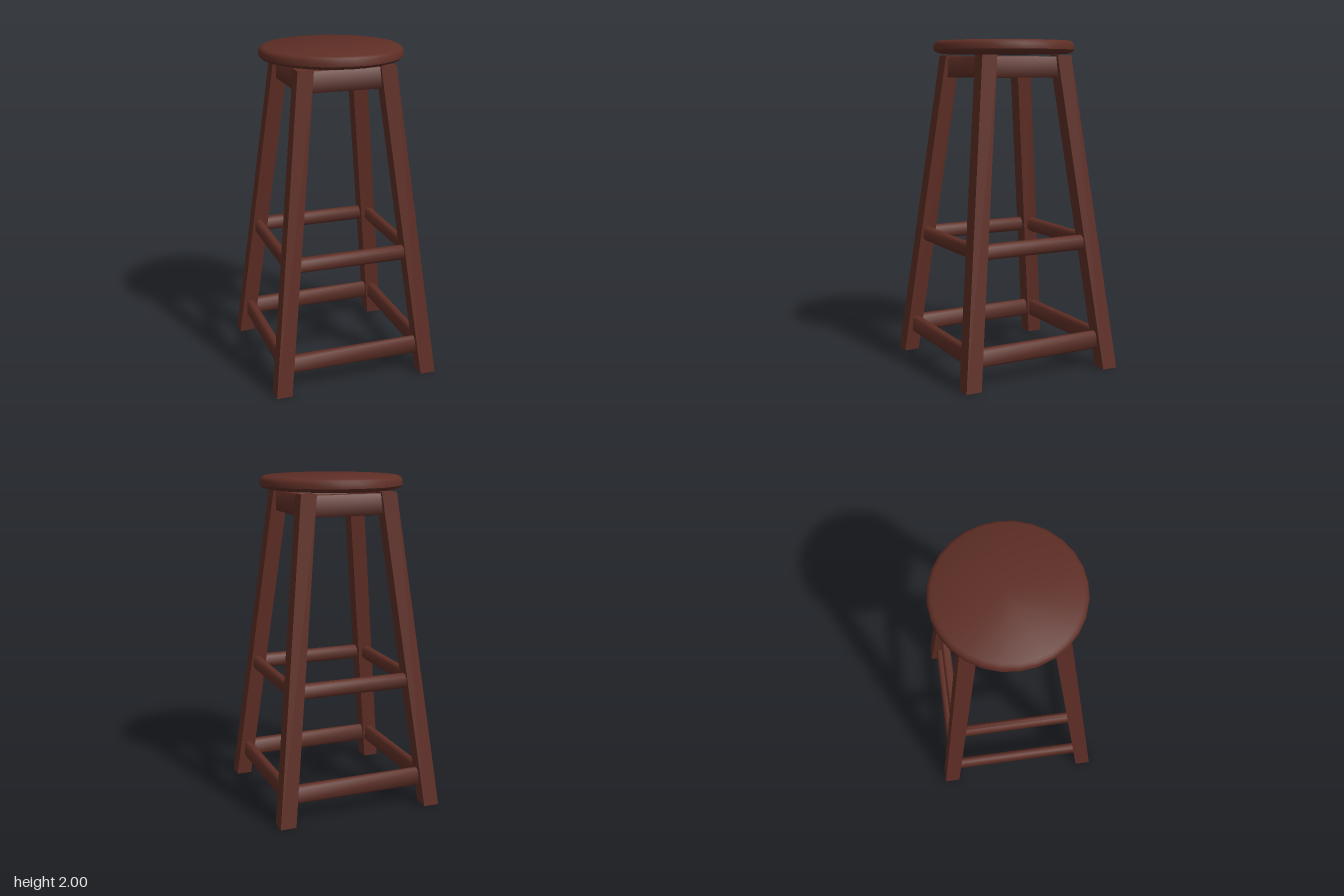
import * as THREE from 'three';
import { toCreasedNormals } from 'three/addons/utils/BufferGeometryUtils.js';

export function createModel() {
  const stool = new THREE.Group();
  stool.name = 'stool';
  const wood = new THREE.MeshStandardMaterial({ color: 0x5e2e25 });
  wood.name = 'dark red wood';

  const add = (geometry, name, parent = stool) => {
    const mesh = new THREE.Mesh(geometry, wood);
    mesh.name = name;
    parent.add(mesh);
    return mesh;
  };

  // Round seat with softened rim
  const profile = [
    [0, 1.922], [0.385, 1.922], [0.415, 1.93], [0.43, 1.945],
    [0.43, 1.975], [0.422, 1.99], [0.405, 1.999], [0, 2],
  ].map(([r, y]) => new THREE.Vector2(r, y));
  add(toCreasedNormals(new THREE.LatheGeometry(profile, 28), 0.7), 'seat');

  // Four square legs, splayed by shearing a box outwards towards the floor
  const legHeight = 1.912;
  for (const sx of [-1, 1]) {
    for (const sz of [-1, 1]) {
      const g = new THREE.BoxGeometry(0.096, legHeight, 0.096);
      g.translate(0, legHeight / 2, 0);
      const p = g.attributes.position;
      for (let i = 0; i < p.count; i++) {
        const offset = 0.466 - 0.216 * (p.getY(i) / legHeight);
        p.setX(i, p.getX(i) + sx * offset);
        p.setZ(i, p.getZ(i) + sz * offset);
      }
      g.computeVertexNormals();
      add(g, 'leg');
    }
  }

  // Rail running along x, with chamfered long edges
  const railGeometry = (length, height, depth, chamfer) => {
    const h = height / 2, d = depth / 2, c = chamfer;
    const section = new THREE.Shape([
      [-d + c, -h], [d - c, -h], [d, -h + c], [d, h - c],
      [d - c, h], [-d + c, h], [-d, h - c], [-d, -h + c],
    ].map(([x, y]) => new THREE.Vector2(x, y)));
    const g = new THREE.ExtrudeGeometry(section, { depth: length, bevelEnabled: false });
    g.translate(0, 0, -length / 2);
    g.rotateY(Math.PI / 2);
    return toCreasedNormals(g, 0.9);
  };

  // Apron and two tiers of stretchers, repeated on all four sides
  const rails = [
    { name: 'apron', y: 1.842, out: 0.257, length: 0.45, height: 0.125, depth: 0.05, chamfer: 0.002 },
    { name: 'upperStretcher', y: 0.785, out: 0.383, length: 0.71, height: 0.09, depth: 0.056, chamfer: 0.018 },
    { name: 'lowerStretcher', y: 0.177, out: 0.438, length: 0.83, height: 0.11, depth: 0.054, chamfer: 0.015 },
  ];
  for (const r of rails) {
    const g = railGeometry(r.length, r.height, r.depth, r.chamfer);
    for (let side = 0; side < 4; side++) {
      const pivot = new THREE.Group();
      pivot.name = r.name + 'Side';
      pivot.rotation.y = side * Math.PI / 2;
      add(g, r.name, pivot).position.set(0, r.y, r.out);
      stool.add(pivot);
    }
  }

  return stool;
}
